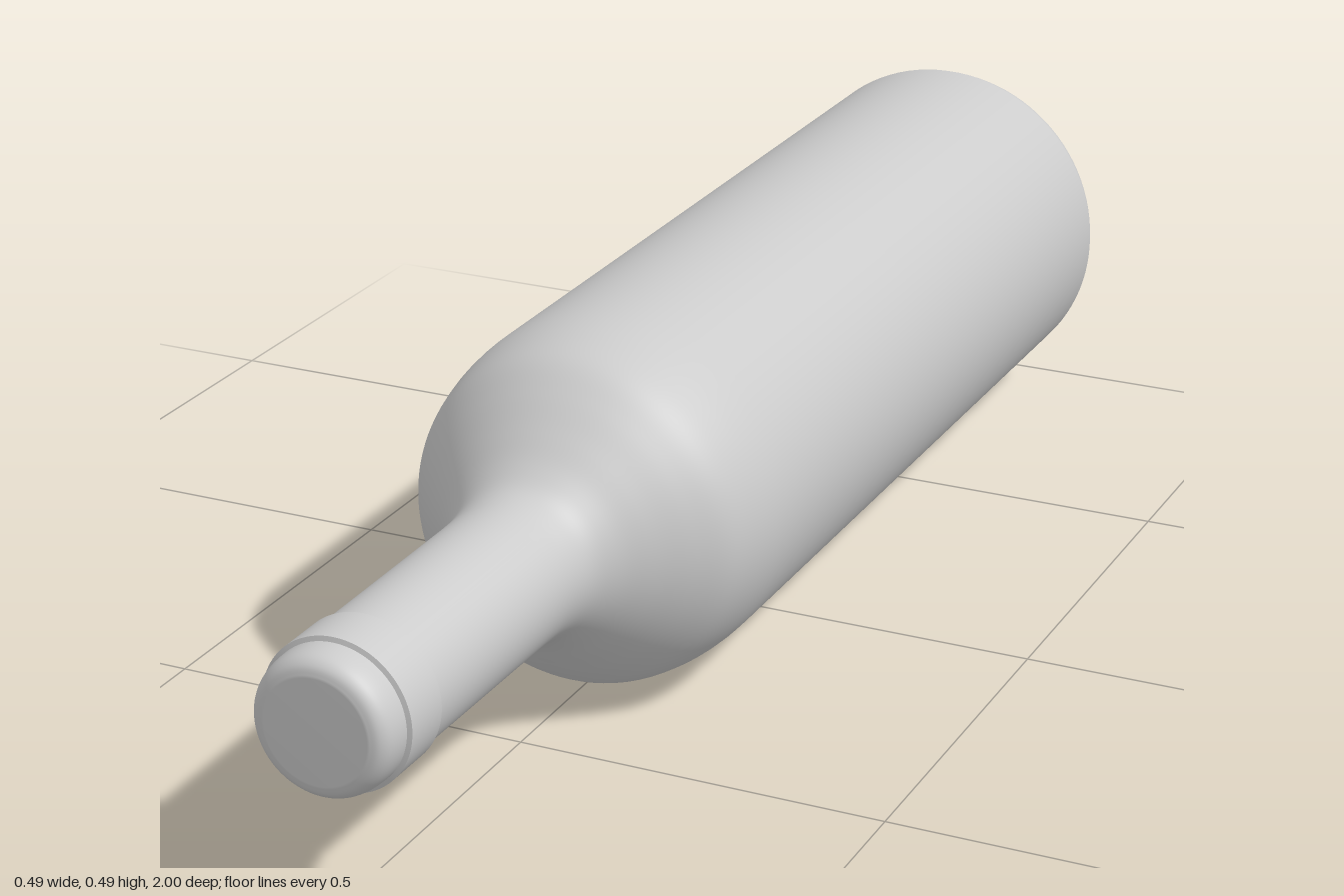
import * as THREE from 'three';

const AXIS_HEIGHT = 0.247;
const SEGMENTS = 96;

// Smooth dense profile through a few [radius, z] points
function smooth(points, divisions) {
  const curve = new THREE.CatmullRomCurve3(points.map(([r, z]) => new THREE.Vector3(r, z, 0)), false, 'centripetal');
  return curve.getPoints(divisions).map((p) => new THREE.Vector2(Math.max(p.x, 0), p.y));
}

function straight(points) {
  return points.map(([r, z]) => new THREE.Vector2(r, z));
}

export function createModel() {
  const bottle = new THREE.Group();
  bottle.name = 'bottle';
  const material = new THREE.MeshStandardMaterial({ color: 0xcccccc, side: THREE.DoubleSide });

  // Turn a profile (running back to front) around the bottle's z axis
  function addTurned(name, profile) {
    const geometry = new THREE.LatheGeometry(profile, SEGMENTS);
    geometry.rotateX(Math.PI / 2);
    const mesh = new THREE.Mesh(geometry, material);
    mesh.name = name;
    mesh.position.y = AXIS_HEIGHT;
    bottle.add(mesh);
  }

  // Closed base with a rounded rim
  addTurned('base', [
    new THREE.Vector2(0, -1),
    ...smooth([[0.17, -1], [0.197, -0.997], [0.218, -0.988], [0.233, -0.973], [0.24, -0.957]], 16),
  ]);

  // Straight body flowing through the shoulder into the neck
  addTurned('body', [
    ...straight([[0.24, -0.957], [0.244, -0.945], [0.244, -0.3]]),
    ...smooth([
      [0.244, 0.21], [0.243, 0.25], [0.237, 0.3], [0.223, 0.35], [0.195, 0.39],
      [0.158, 0.43], [0.125, 0.465], [0.105, 0.495], [0.097, 0.53], [0.095, 0.57],
    ], 48),
    ...straight([[0.094, 0.88]]),
  ]);

  // Raised collar near the mouth, with stepped ends
  addTurned('collarBack', straight([[0.094, 0.88], [0.099, 0.88]]));
  addTurned('collar', straight([[0.099, 0.88], [0.099, 0.95]]));
  addTurned('collarFront', straight([[0.099, 0.95], [0.093, 0.952]]));

  // Closed, rounded tip
  addTurned('cap', [
    ...smooth([[0.093, 0.952], [0.092, 0.972], [0.088, 0.987], [0.08, 0.996], [0.068, 1]], 16),
    new THREE.Vector2(0, 1),
  ]);

  return bottle;
}
